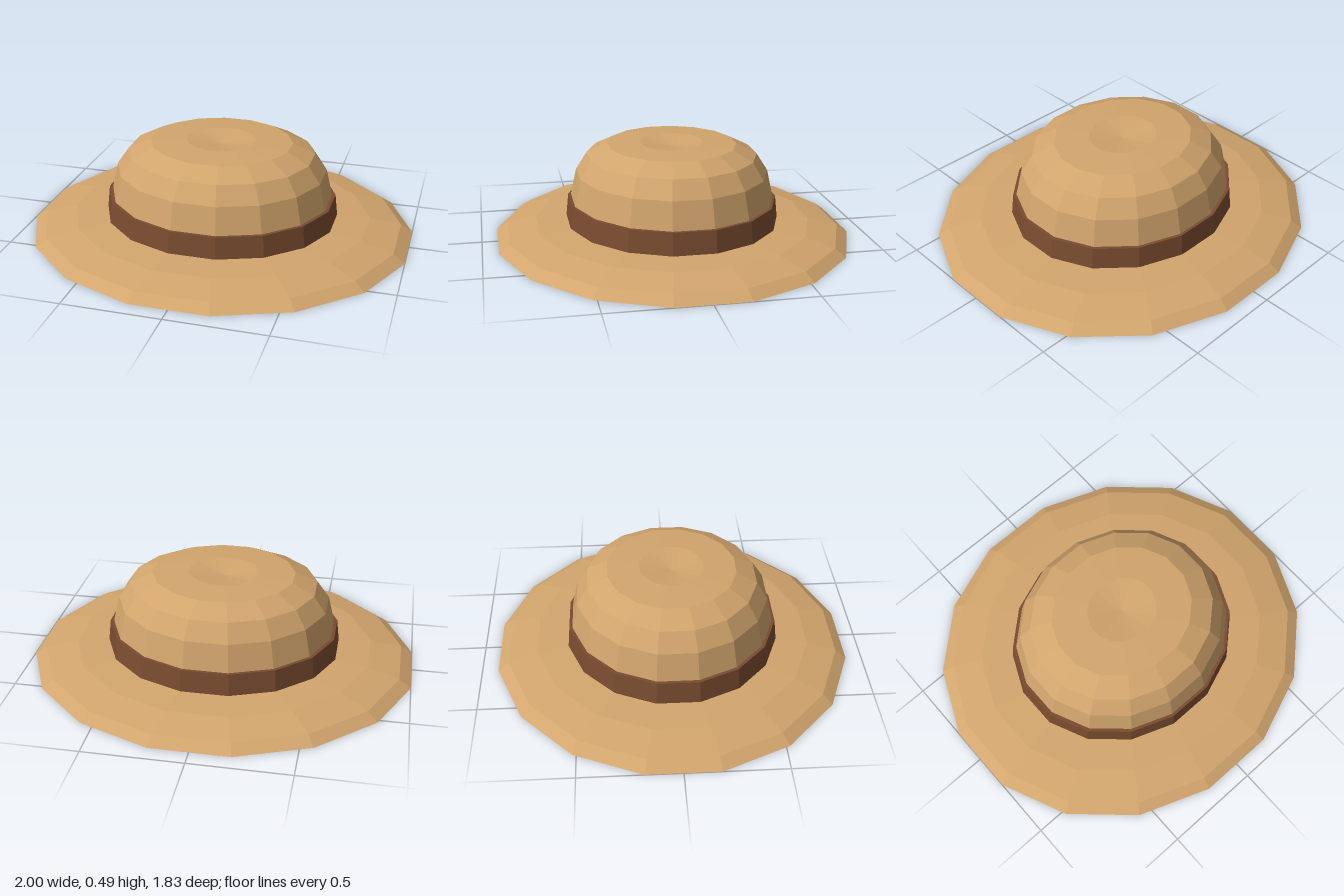
import * as THREE from 'three';

const SIDES = 16;
const FLAT = Math.cos(Math.PI / SIDES); // half-width across flats -> corner radius

// Faceted ring surface from a [half-width, height] profile, squashed front to back
function ring(name, profile, color, depth) {
  const points = profile.map(([x, y]) => new THREE.Vector2(x / FLAT, y));
  const geometry = new THREE.LatheGeometry(points, SIDES, Math.PI / SIDES);
  geometry.scale(1, 1, depth);
  const material = new THREE.MeshStandardMaterial({ color, flatShading: true, side: THREE.DoubleSide });
  const mesh = new THREE.Mesh(geometry, material);
  mesh.name = name;
  return mesh;
}

export function createModel() {
  const hat = new THREE.Group();
  hat.name = 'hat';
  const straw = 0xd2a56d, ribbon = 0x7a4c30;

  // Wide brim, open below, drooping at its rim
  hat.add(ring('brim', [[1, 0], [0.94, 0.04], [0.775, 0.075], [0.59, 0.084]], straw, 0.917));

  // Rounded crown with a shallow dent in the top
  hat.add(ring('crown', [
    [0.583, 0.084], [0.575, 0.2], [0.542, 0.34], [0.48, 0.43],
    [0.365, 0.484], [0.18, 0.491], [0, 0.468],
  ], straw, 0.908));

  // Ribbon around the foot of the crown, with a narrow top lip
  hat.add(ring('hatBand', [[0.606, 0.086], [0.593, 0.2], [0.573, 0.2]], ribbon, 0.905));

  return hat;
}
